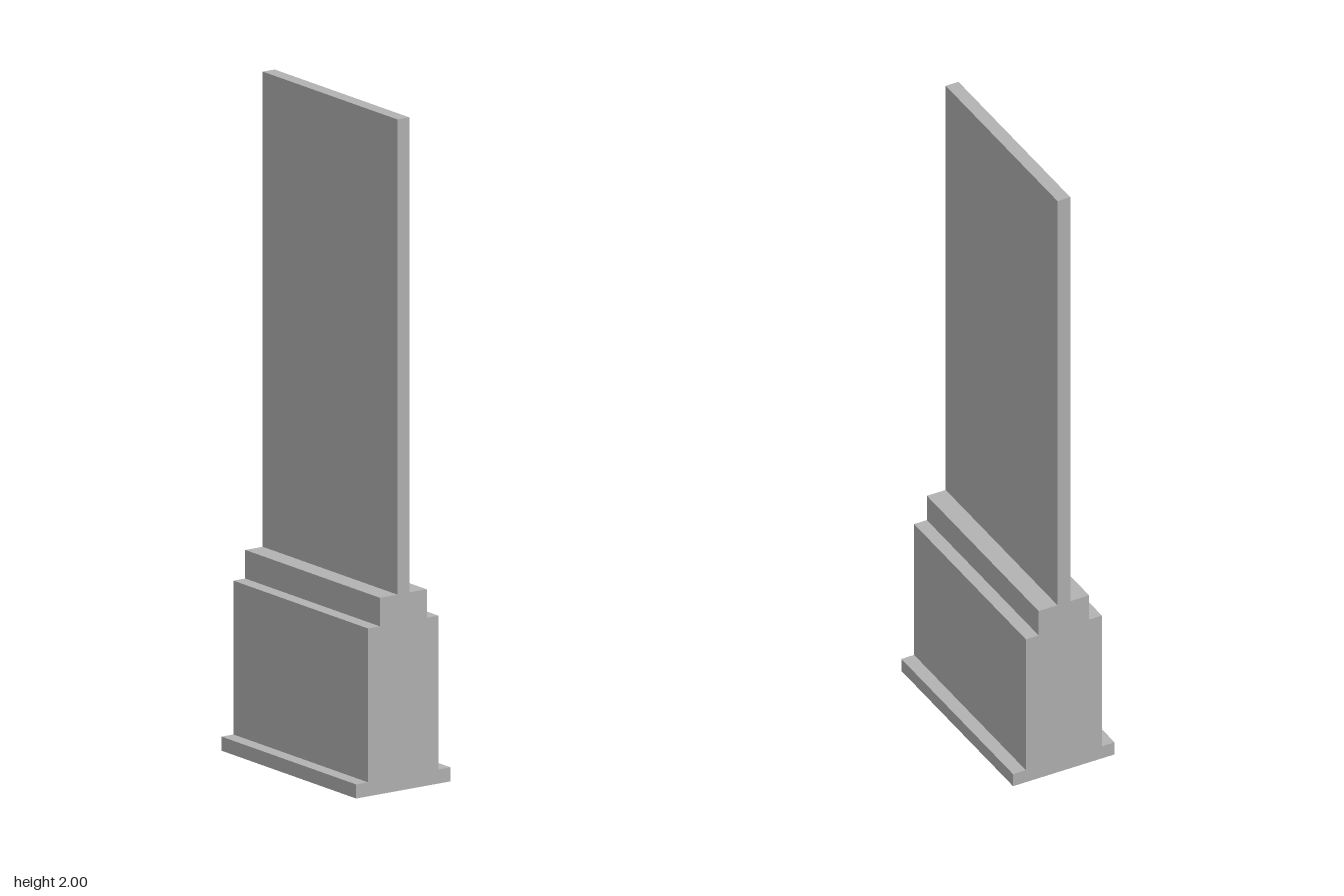
import * as THREE from 'three';

const WIDTH = 0.667;

// Half depth of each tier and the height of its top, from the ground up
const TIERS = [
  { half: 0.167, top: 0.042 }, // foot
  { half: 0.125, top: 0.5 },   // pedestal
  { half: 0.083, top: 0.585 }, // shoulder
  { half: 0.021, top: 2 },     // upright slab
];

export function createModel() {
  const group = new THREE.Group();
  group.name = 'steppedSlab';

  const grey = new THREE.MeshStandardMaterial({ color: 0xb2b2b2 });
  grey.name = 'grey';

  // Stepped outline of one side, then mirrored for the other
  const side = [];
  let bottom = 0;
  for (const { half, top } of TIERS) {
    side.push([half, bottom], [half, top]);
    bottom = top;
  }
  const mirrored = side.map(([d, y]) => [-d, y]).reverse();
  const outline = [...side, ...mirrored].map(([d, y]) => new THREE.Vector2(d, y));

  // Extrude the outline across the full width
  const geometry = new THREE.ExtrudeGeometry(new THREE.Shape(outline), {
    depth: WIDTH,
    bevelEnabled: false,
  });
  geometry.translate(0, 0, -WIDTH / 2);
  geometry.rotateY(Math.PI / 2);

  const body = new THREE.Mesh(geometry, grey);
  body.name = 'slabOnSteppedBase';
  group.add(body);
  return group;
}
